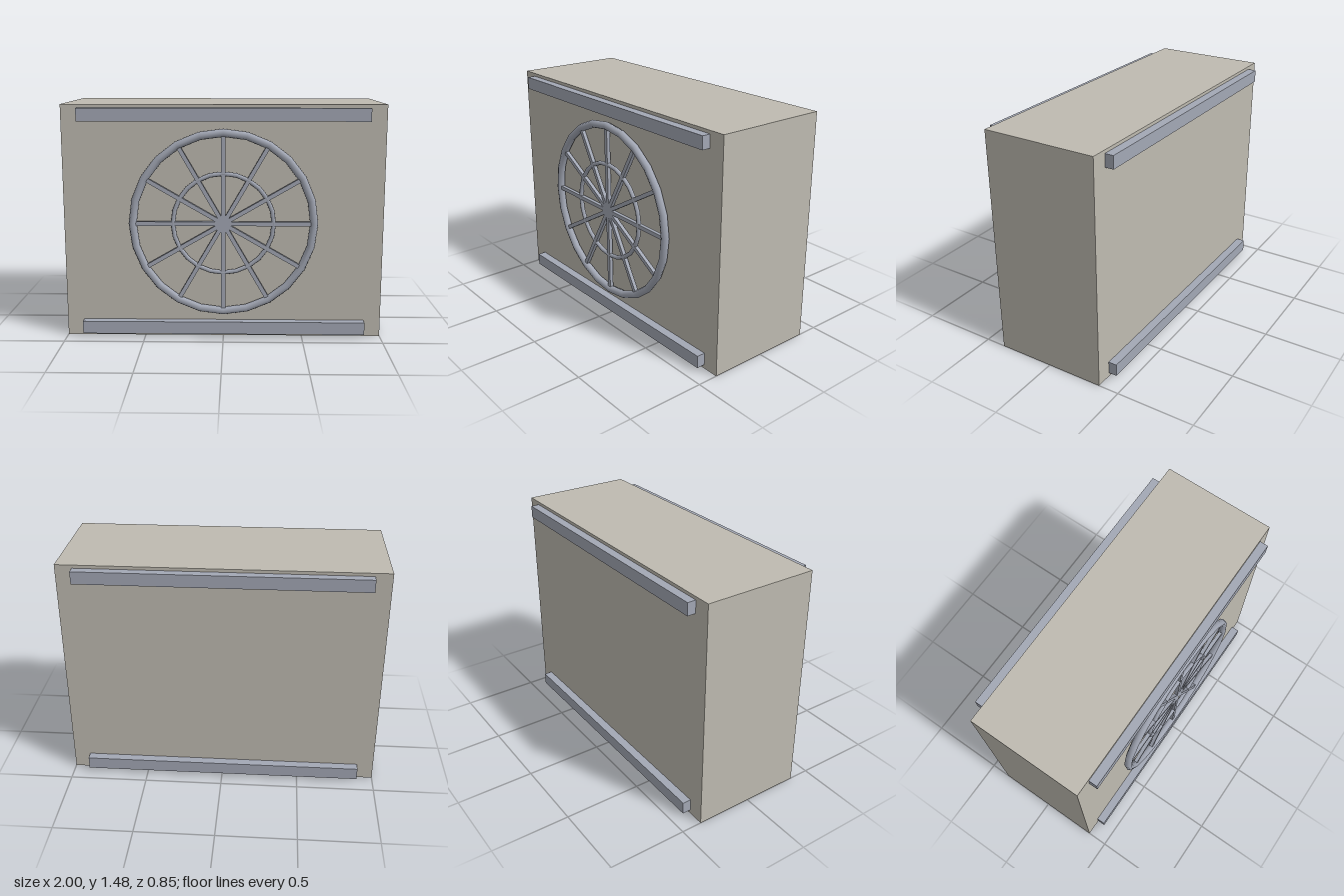
import * as THREE from 'three';

export function createModel() {
  const group = new THREE.Group();
  const paint = (name, color) => {
    const m = new THREE.MeshStandardMaterial({ color });
    m.name = name;
    return m;
  };
  const casing = paint('warm grey casing', 0xbfbbb1);
  const steel = paint('blue grey steel', 0xa3a8b5);
  const dark = paint('dark fan', 0x3a3b4a);

  const H = 1.475, D = 0.735, CY = 0.74, GZ = 0.4;
  const add = (name, geometry, material, x, y, z, parent = group) => {
    const mesh = new THREE.Mesh(geometry, material);
    mesh.name = name;
    mesh.position.set(x, y, z);
    parent.add(mesh);
    return mesh;
  };

  // Casing
  add('casing', new THREE.BoxGeometry(2, H, D), casing, 0, H / 2, 0);

  // Mounting rails, top and bottom on both faces
  const rail = new THREE.BoxGeometry(1.79, 0.08, 0.06);
  for (const side of [1, -1]) {
    for (const y of [0.065, 1.415]) {
      add(side > 0 ? 'frontRail' : 'backRail', rail, steel, 0, y, side * 0.392);
    }
  }

  // Fan grille: two rings and six crossing bars
  const grille = new THREE.Group();
  grille.name = 'fanGrille';
  grille.position.set(0, CY, GZ);
  group.add(grille);
  add('outerRing', new THREE.TorusGeometry(0.565, 0.025, 8, 24), steel, 0, 0, 0, grille);
  add('innerRing', new THREE.TorusGeometry(0.314, 0.014, 8, 24), steel, 0, 0, 0, grille);
  const bar = new THREE.BoxGeometry(1.11, 0.026, 0.024);
  for (let i = 0; i < 6; i++) {
    add('grilleBar', bar, steel, 0, 0, 0, grille).rotation.z = i * Math.PI / 6;
  }

  // Fan blades, set just behind the casing front
  const fan = new THREE.Group();
  fan.name = 'fan';
  fan.position.set(0, CY, D / 2 - 0.008);
  group.add(fan);
  const outline = new THREE.Shape();
  outline.moveTo(0.05, -0.05);
  outline.lineTo(0.49, -0.09);
  outline.lineTo(0.49, 0.09);
  outline.lineTo(0.05, 0.05);
  outline.closePath();
  const blade = new THREE.ExtrudeGeometry(outline, { depth: 0.006, bevelEnabled: false });
  for (let i = 0; i < 4; i++) {
    add('fanBlade', blade, dark, 0, 0, 0, fan).rotation.z = i * Math.PI / 2 - 0.2;
  }

  return group;
}
